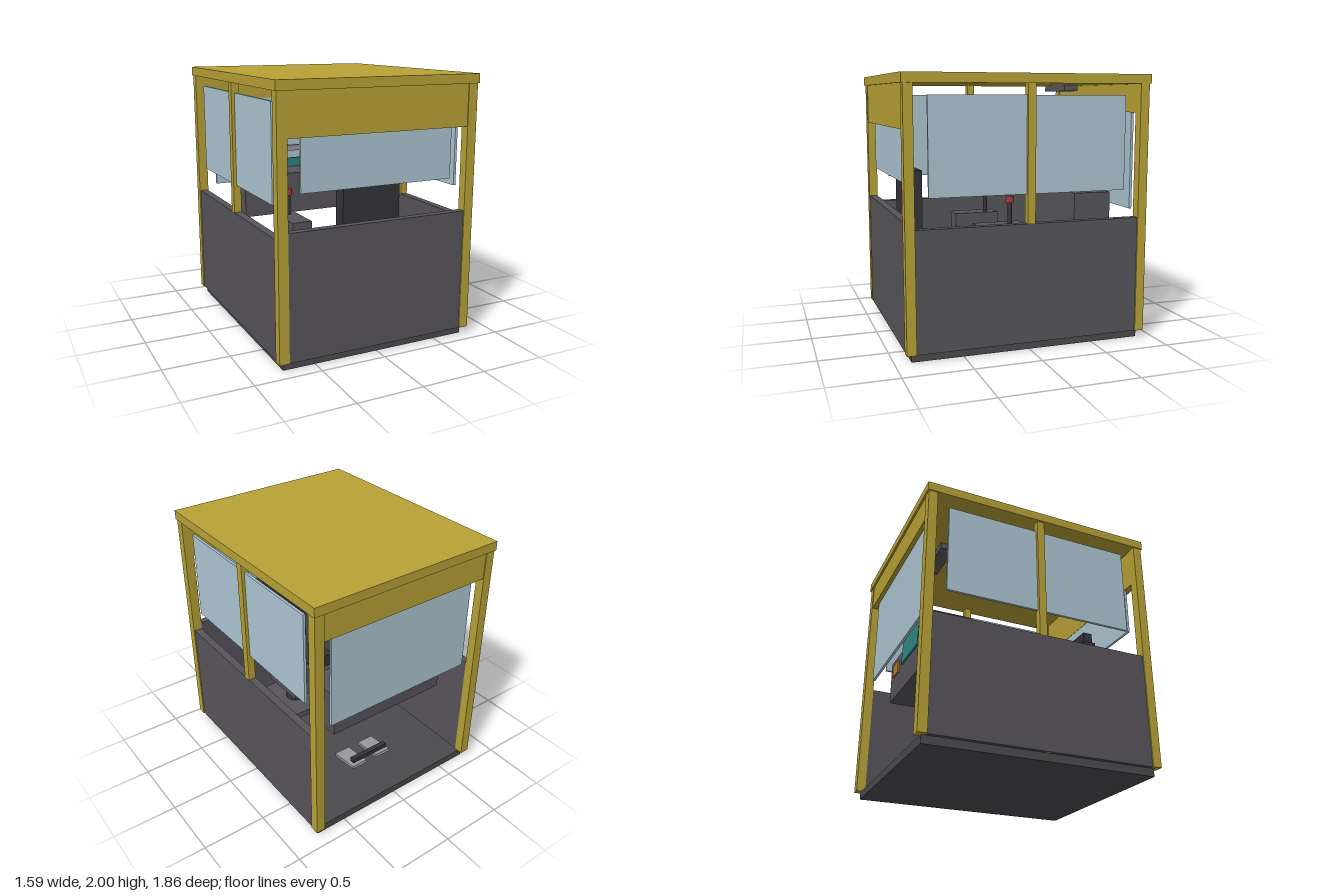
import * as THREE from 'three';

const mat = (color) => new THREE.MeshStandardMaterial({ color });
const yellow = mat(0xb8a236), panelGrey = mat(0x57555a), floorGrey = mat(0x4b4a4d);
const seatDark = mat(0x35343a), glass = mat(0xadc6d2), steel = mat(0x9a9a9c);
const red = mat(0xa83c3c), teal = mat(0x2f8583), amber = mat(0xbd7a2c);

export function createModel() {
  const root = new THREE.Group();

  // Box given by its extents on each axis
  const box = (name, m, [x0, x1], [y0, y1], [z0, z1], parent = root) => {
    const mesh = new THREE.Mesh(new THREE.BoxGeometry(x1 - x0, y1 - y0, z1 - z0), m);
    mesh.position.set((x0 + x1) / 2, (y0 + y1) / 2, (z0 + z1) / 2);
    mesh.name = name;
    parent.add(mesh);
    return mesh;
  };
  // Range of width w around c
  const about = (c, w) => [c - w / 2, c + w / 2];
  const cylinder = (name, m, r, x, [y0, y1], z) => {
    const mesh = new THREE.Mesh(new THREE.CylinderGeometry(r, r, y1 - y0, 20), m);
    mesh.position.set(x, (y0 + y1) / 2, z);
    mesh.name = name;
    root.add(mesh);
  };

  // Floor and roof
  box('floor', floorGrey, [-0.745, 0.745], [0, 0.06], [-0.88, 0.88]);
  box('roof', yellow, [-0.793, 0.793], [1.93, 2], [-0.93, 0.93]);

  // Frame, side walls and side windows
  for (const s of [-1, 1]) {
    for (const t of [-1, 1])
      box('cornerPost', yellow, about(s * 0.748, 0.075), [0.06, 1.93], about(t * 0.885, 0.07));
    box('middlePost', yellow, about(s * 0.747, 0.058), [0.06, 1.93], [-0.03, 0.03]);
    box('sidePanel', panelGrey, about(s * 0.747, 0.06), [0.06, 0.94], [-0.85, 0.85]);
    box('sideWindow', glass, about(s * 0.742, 0.02), [1.15, 1.85], [-0.745, 0.745]);
  }

  // Front and back walls
  box('frontPanel', panelGrey, [-0.71, 0.71], [0.06, 0.99], about(0.885, 0.06));
  box('frontHeader', yellow, [-0.71, 0.71], [1.62, 1.93], about(0.885, 0.06));
  box('frontWindow', glass, [-0.6, 0.6], [1.24, 1.64], about(0.868, 0.02));
  box('backHeader', yellow, [-0.71, 0.71], [1.72, 1.93], about(-0.885, 0.06));
  box('backWindow', glass, [-0.627, 0.627], [0.985, 1.735], about(-0.872, 0.02));

  // Seat on its base plate
  box('seatBase', panelGrey, [-0.3, 0.3], [0.06, 0.11], [0.28, 0.8]);
  cylinder('seatPedestal', seatDark, 0.08, 0, [0.11, 0.52], 0.53);
  box('seatCushion', seatDark, [-0.23, 0.23], [0.52, 0.63], [0.26, 0.76]);
  box('seatBack', seatDark, [-0.23, 0.23], [0.6, 1.29], [0.67, 0.78]);
  box('headrest', seatDark, [-0.14, 0.14], [1.26, 1.425], [0.73, 0.81]);

  // Armrest consoles with joysticks, and foot pedals
  for (const s of [-1, 1]) {
    box('sideConsole', panelGrey, about(s * 0.32, 0.16), [0.62, 0.87], [-0.09, 0.28]);
    cylinder('joystick', seatDark, 0.017, s * 0.315, [0.87, 1.04], 0);
    cylinder('joystickKnob', red, 0.032, s * 0.315, [1.03, 1.08], 0);
    const pedal = box('pedal', steel, about(s * 0.12, 0.14), [0.11, 0.135], [-0.59, -0.35]);
    pedal.rotation.x = 0.12;
  }
  box('footBar', seatDark, [-0.17, 0.17], [0.165, 0.2], [-0.57, -0.53]);

  // Control console with screen and indicator panels
  box('controlConsole', panelGrey, [-0.51, 0.51], [0.76, 1.105], [-0.755, -0.455]);
  const screen = box('screen', teal, [-0.2, 0.2], [0.975, 1.185], [-0.765, -0.747]);
  screen.rotation.x = 0.04;
  for (const s of [-1, 1])
    box('indicatorPanel', amber, about(s * 0.36, 0.13), [0.95, 1.05], [-0.768, -0.75]);

  // Ceiling unit and rail behind the back window
  box('ceilingUnit', panelGrey, [-0.2, 0.2], [1.88, 1.93], [-0.61, -0.5]);
  box('windowRail', steel, [-0.25, 0.25], [1.245, 1.293], [-0.812, -0.768]);

  return root;
}
